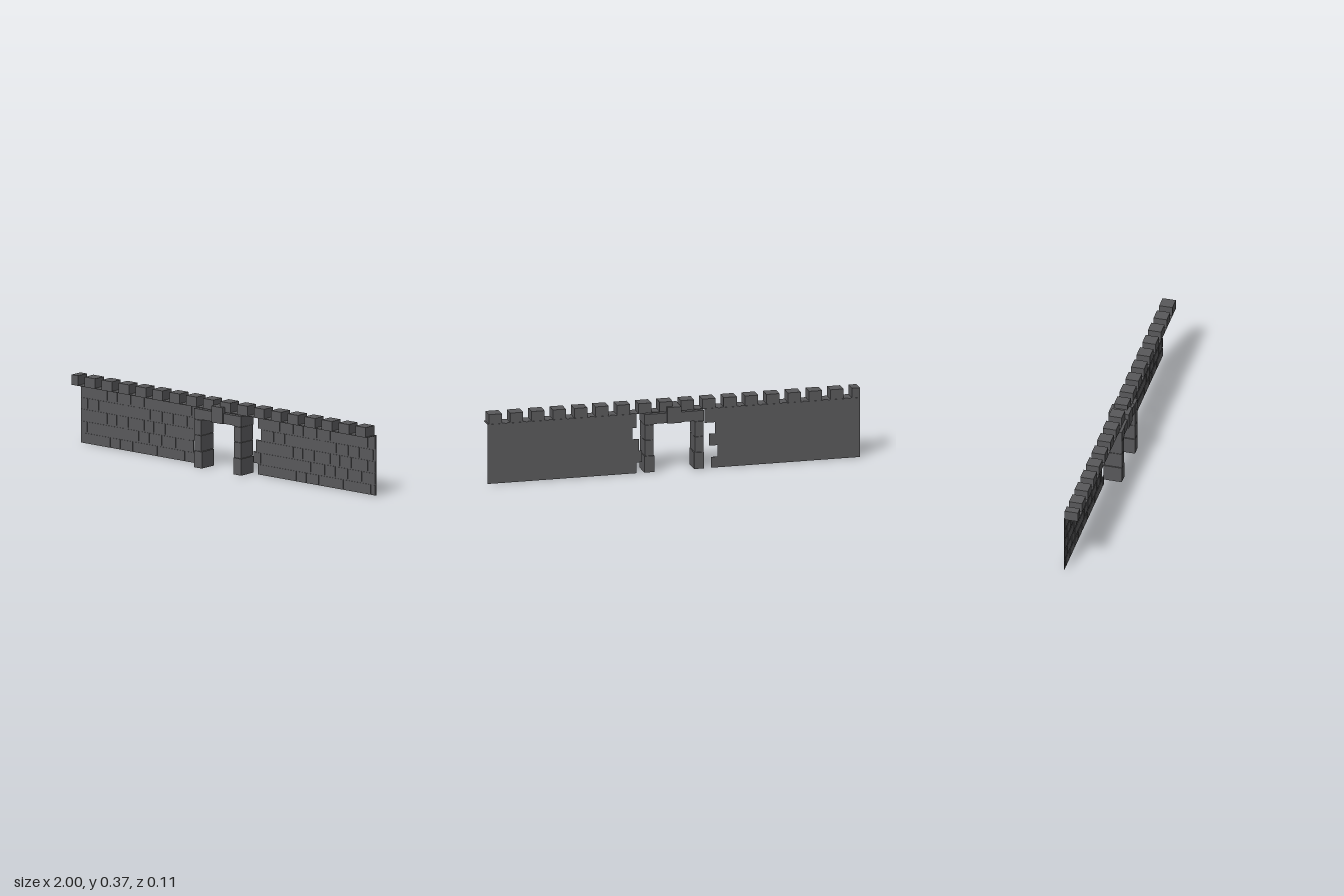
import * as THREE from 'three';

export function createModel() {
  const root = new THREE.Group();
  root.name = 'castleWall';
  const stone = new THREE.MeshStandardMaterial({ color: 0x59595b });
  stone.name = 'darkStone';

  // Box given by its limits on each axis
  function block(parent, name, x0, x1, y0, y1, z0, z1) {
    const mesh = new THREE.Mesh(new THREE.BoxGeometry(x1 - x0, y1 - y0, z1 - z0), stone);
    mesh.position.set((x0 + x1) / 2, (y0 + y1) / 2, (z0 + z1) / 2);
    mesh.name = name;
    parent.add(mesh);
  }

  // Brick courses, bottom to top: inner ends beside the gate, widths and phase of the bond
  const rows = [
    { y0: 0, y1: 0.058, left: -0.2, right: 0.2, widths: [0.085, 0.1, 0.067], phase: 0.02 },
    { y0: 0.058, y1: 0.12, left: -0.235, right: 0.17, widths: [0.095, 0.072, 0.085], phase: 0.05 },
    { y0: 0.12, y1: 0.184, left: -0.19, right: 0.187, widths: [0.11, 0.064, 0.078], phase: 0.074 },
    { y0: 0.184, y1: 0.245, left: -0.222, right: 0.222, widths: [0.074, 0.096, 0.082], phase: 0.053 },
    { y0: 0.245, y1: 0.321, left: -0.165, right: 0.2, widths: [0.092, 0.092, 0.068], phase: 0 },
  ];
  const backZ = -0.041, panelZ = -0.0385, faceZ = -0.036, joint = 0.004;

  // Thin walls with toothed inner ends and raised bricks on the front
  for (const side of ['right', 'left']) {
    const wall = new THREE.Group();
    wall.name = side === 'right' ? 'leftWall' : 'rightWall';
    const outer = side === 'right' ? 1 : -1;

    const outline = [new THREE.Vector2(outer, 0)];
    for (const r of rows) {
      outline.push(new THREE.Vector2(r[side], r.y0), new THREE.Vector2(r[side], r.y1));
    }
    outline.push(new THREE.Vector2(outer, 0.321));
    const geo = new THREE.ExtrudeGeometry(new THREE.Shape(outline), {
      depth: panelZ - backZ, bevelEnabled: false,
    });
    const panel = new THREE.Mesh(geo, stone);
    panel.position.z = backZ;
    panel.name = 'wallPanel';
    wall.add(panel);

    for (const r of rows) {
      const lo = Math.min(outer, r[side]), hi = Math.max(outer, r[side]);
      let x = -1 + r.phase - r.widths[2];
      for (let i = 2; x < hi; i++) {
        const next = x + r.widths[i % 3];
        const a = Math.max(x, lo), b = Math.min(next, hi);
        if (b - a > 0.015) {
          block(wall, 'brick', a + joint, b - joint, r.y0 + joint, r.y1 - joint, panelZ, faceZ);
        }
        x = next;
      }
    }
    root.add(wall);
  }

  // Battlements on a narrow ledge
  const battlements = new THREE.Group();
  battlements.name = 'battlements';
  block(battlements, 'ledge', -1, 1, 0.319, 0.322, -0.036, 0.035);
  for (let i = 0; i < 18; i++) {
    const c = -0.9916 + i * 0.1146;
    block(battlements, 'merlon', Math.max(-1, c - 0.035), c + 0.035, 0.322, 0.373, -0.036, 0.035);
  }
  root.add(battlements);

  // Gate frame: stacked piers, lintel stones and keystone
  const gate = new THREE.Group();
  gate.name = 'gateFrame';
  const courses = [[0.002, 0.09, 0.107, 0.16], [0.092, 0.175, 0.111, 0.157],
    [0.177, 0.257, 0.111, 0.157], [0.259, 0.316, 0.109, 0.16]];
  for (const s of [-1, 1]) {
    for (const [y0, y1, a, b] of courses) {
      block(gate, 'pierStone', Math.min(s * a, s * b), Math.max(s * a, s * b), y0, y1, -0.049, 0.049);
    }
    block(gate, 'lintelStone', s > 0 ? 0.037 : -0.109, s > 0 ? 0.109 : -0.037, 0.261, 0.315, -0.047, 0.047);
  }
  block(gate, 'keystone', -0.037, 0.037, 0.259, 0.346, -0.054, 0.054);
  root.add(gate);

  return root;
}
